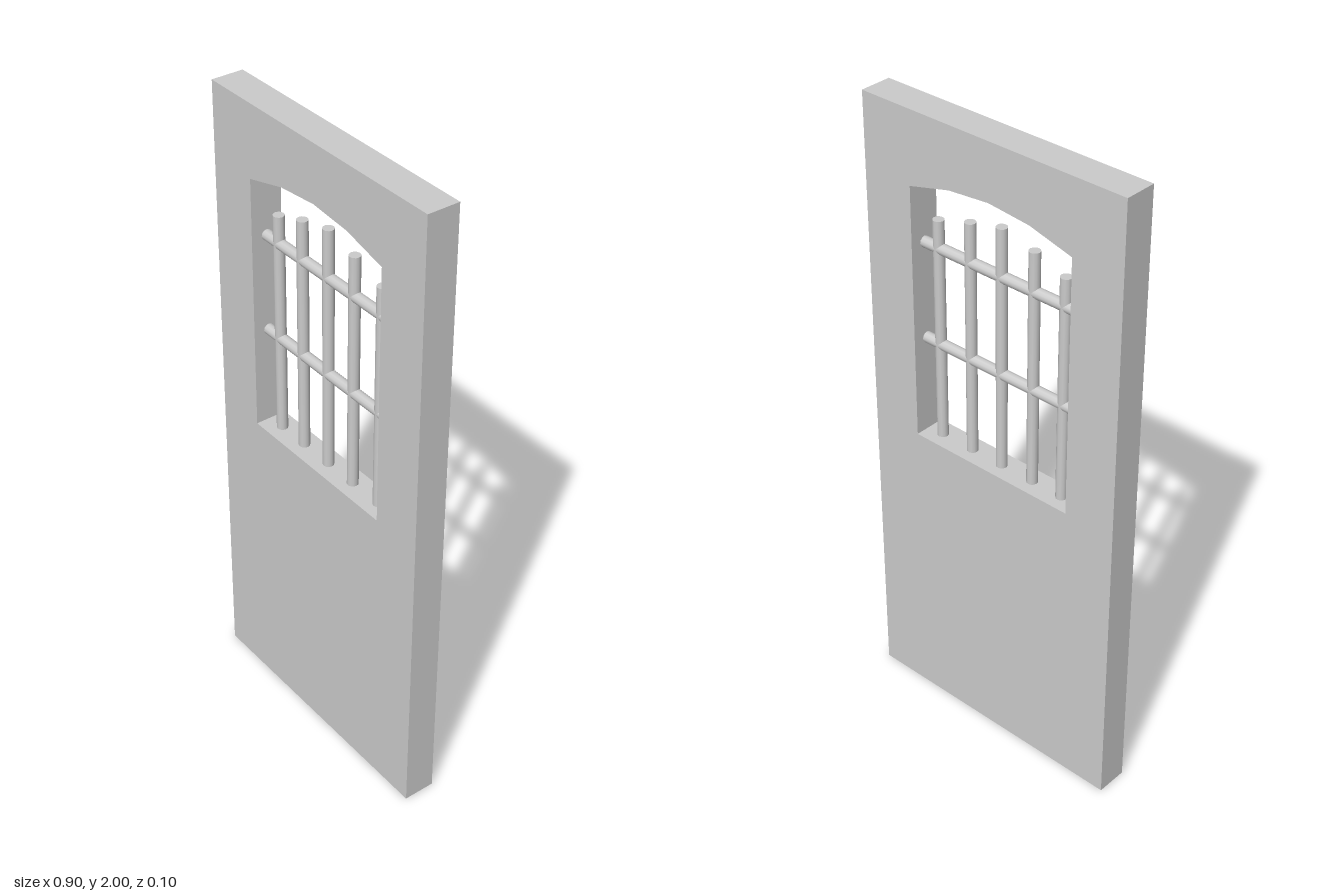
import * as THREE from 'three';

const material = new THREE.MeshStandardMaterial({ color: 0xcccccc });
const DEPTH = 0.1;
const HALF_OPENING = 0.283;
const SILL = 0.967;
const BAR_RADIUS = 0.017;

// Door slab with an arched window cut through it
function createDoor() {
  const shape = new THREE.Shape([
    [-0.45, 0], [0.45, 0], [0.45, 2], [-0.45, 2],
  ].map(([x, y]) => new THREE.Vector2(x, y)));
  shape.holes.push(new THREE.Path([
    [-HALF_OPENING, SILL], [-HALF_OPENING, 1.775], [-0.14, 1.812], [0, 1.825],
    [0.14, 1.812], [HALF_OPENING, 1.775], [HALF_OPENING, SILL],
  ].map(([x, y]) => new THREE.Vector2(x, y))));
  const geometry = new THREE.ExtrudeGeometry(shape, { depth: DEPTH, bevelEnabled: false });
  geometry.translate(0, 0, -DEPTH / 2);
  const door = new THREE.Mesh(geometry, material);
  door.name = 'doorSlab';
  return door;
}

function createBar(name, length) {
  const bar = new THREE.Mesh(
    new THREE.CylinderGeometry(BAR_RADIUS, BAR_RADIUS, length, 12), material);
  bar.name = name;
  return bar;
}

export function createModel() {
  const model = new THREE.Group();
  model.name = 'barredDoor';
  model.add(createDoor());

  const grille = new THREE.Group();
  grille.name = 'windowGrille';
  model.add(grille);

  // Upright bars, tallest in the middle
  const uprights = [[-0.225, 1.675], [-0.117, 1.71], [-0.002, 1.737], [0.111, 1.71], [0.228, 1.675]];
  uprights.forEach(([x, top], i) => {
    const bar = createBar(`uprightBar${i + 1}`, top - SILL);
    bar.position.set(x, (top + SILL) / 2, 0);
    grille.add(bar);
  });

  // Cross bars spanning the opening
  [['lowerCrossBar', 1.279], ['upperCrossBar', 1.587]].forEach(([name, y]) => {
    const bar = createBar(name, HALF_OPENING * 2);
    bar.rotation.z = Math.PI / 2;
    bar.position.y = y;
    grille.add(bar);
  });

  return model;
}
